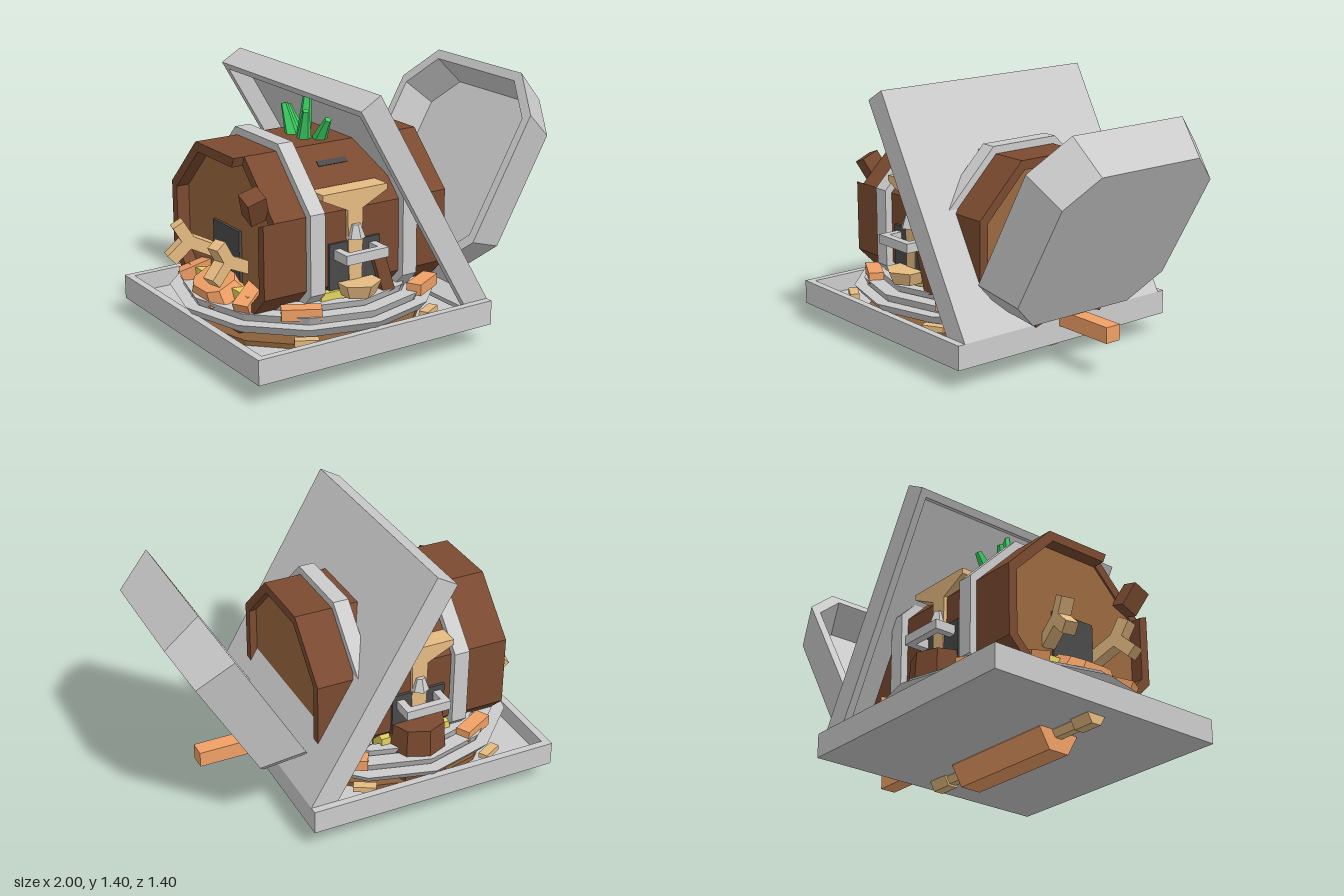
import * as THREE from 'three';

const GREY = 0xcccccc, DARK = 0x4a4a4a, BROWN = 0x7a4a30, PALE = 0x9a683f,
  ORANGE = 0xf0a066, TAN = 0xe6bb82, GREEN = 0x3ccf62, YELLOW = 0xe3d45c, SOIL = 0x8a6038;
const CX = -0.305; // middle of the tray

const mats = {};
const mat = c => (mats[c] ??= new THREE.MeshStandardMaterial({ color: c, flatShading: true, side: THREE.DoubleSide }));

function add(parent, name, geo, color, pos = [0, 0, 0], rot = [0, 0, 0]) {
  const m = new THREE.Mesh(geo, mat(color));
  m.name = name;
  m.position.set(...pos);
  m.rotation.set(...rot);
  parent.add(m);
  return m;
}
const box = (p, name, size, color, pos, rot) => add(p, name, new THREE.BoxGeometry(...size), color, pos, rot);

// Box given by its limits
const span = (p, name, color, x0, x1, y0, y1, z0, z1) =>
  box(p, name, [x1 - x0, y1 - y0, z1 - z0], color, [(x0 + x1) / 2, (y0 + y1) / 2, (z0 + z1) / 2]);

// Shallow tray open at +y, starting at x = 0
function tray(name, length, half, height) {
  const g = new THREE.Group(), t = 0.04;
  g.name = name;
  span(g, 'trayFloor', GREY, 0, length, 0, 0.035, -half, half);
  for (const x of [0, length - t]) span(g, 'trayEnd', GREY, x, x + t, 0.035, height, -half, half);
  for (const z of [-half, half - t]) span(g, 'traySide', GREY, t, length - t, 0.035, height, z, z + t);
  return g;
}

// Skin over octagonal cross-sections [height, half size, half side], capped at both ends
function octagonLoft(sections) {
  const rings = sections.map(([y, h, c]) =>
    [[h, -c], [h, c], [c, h], [-c, h], [-h, c], [-h, -c], [-c, -h], [c, -h]].map(([x, z]) => [x, y, z]));
  const v = [], tri = (...p) => p.forEach(q => v.push(...q));
  for (let i = 0; i + 1 < rings.length; i++) for (let j = 0; j < 8; j++) {
    const k = (j + 1) % 8, a = rings[i], b = rings[i + 1];
    tri(a[j], b[j], b[k]);
    tri(a[j], b[k], a[k]);
  }
  const first = rings[0], last = rings[rings.length - 1];
  for (let j = 1; j < 7; j++) {
    tri(first[0], first[j], first[j + 1]);
    tri(last[0], last[j + 1], last[j]);
  }
  const g = new THREE.BufferGeometry();
  g.setAttribute('position', new THREE.Float32BufferAttribute(v, 3));
  g.computeVertexNormals();
  return g;
}

// Straight bar lying along x, extruded from a (z, y) outline
function alongX(points, x0, x1) {
  const shape = new THREE.Shape(points.map(([z, y]) => new THREE.Vector2(-z, y)));
  return new THREE.ExtrudeGeometry(shape, { depth: x1 - x0, bevelEnabled: false }).rotateY(Math.PI / 2).translate(x0, 0, 0);
}

// One of eight staves of an octagonal tube
function stave(inner, outer, i, x0, x1) {
  const k = Math.tan(Math.PI / 8), a = i * Math.PI / 4;
  const pts = [[-k * inner, inner], [k * inner, inner], [k * outer, outer], [-k * outer, outer]]
    .map(([z, y]) => [z * Math.cos(a) + y * Math.sin(a), y * Math.cos(a) - z * Math.sin(a)]);
  return alongX(pts, x0, x1);
}

function barrel() {
  const g = new THREE.Group();
  g.name = 'barrel';
  g.position.y = 0.61;
  for (let i = 0; i < 8; i++) {
    add(g, 'stave', stave(0.41, 0.46, i, i === 1 ? -0.76 : -0.82, 0.26), BROWN); // one stave is broken short
    for (const x of [-0.58, -0.03]) add(g, 'hoop', stave(0.46, 0.5, i, x, x + 0.085), GREY);
  }
  // inset ends
  for (const x of [-0.73, 0.2])
    add(g, 'barrelEnd', new THREE.CylinderGeometry(0.445, 0.445, 0.04, 8).rotateY(Math.PI / 8).rotateZ(Math.PI / 2), PALE, [x, 0, 0]);
  span(g, 'doorway', DARK, -0.765, -0.74, -0.36, 0.06, -0.13, 0.13);
  box(g, 'splinter', [0.1, 0.14, 0.1], BROWN, [-0.81, 0.26, 0.36], [0.4, 0, 0.35]);
  return g;
}

// Side fittings, drawn for +z
function fittings() {
  const g = new THREE.Group();
  g.name = 'sideFittings';
  g.position.x = CX;
  const post = new THREE.Shape([[-0.035, 0.38], [0.035, 0.38], [0.045, 0.8], [0.19, 0.87], [0.19, 0.9],
    [-0.19, 0.9], [-0.19, 0.87], [-0.045, 0.8]].map(p => new THREE.Vector2(...p)));
  add(g, 'bracketPost', new THREE.ExtrudeGeometry(post, { depth: 0.11, bevelEnabled: false }), TAN, [0, 0, 0.37]);
  span(g, 'lockPlate', DARK, -0.15, 0.15, 0.4, 0.64, 0.45, 0.475);
  span(g, 'handleBar', GREY, -0.125, 0.125, 0.56, 0.61, 0.55, 0.59);
  for (const x of [-0.105, 0.105]) span(g, 'handleArm', GREY, x - 0.02, x + 0.02, 0.56, 0.61, 0.46, 0.56);
  add(g, 'knob', new THREE.CylinderGeometry(0.025, 0.05, 0.07, 6), GREY, [0, 0.69, 0.48]);
  box(g, 'slot', [0.17, 0.012, 0.03], DARK, [0, 0.99, 0.268], [Math.PI / 4, 0, 0]);
  return g;
}

// Forked claw at the -x end
function claw(side) {
  const g = new THREE.Group();
  g.name = 'claw';
  g.position.set(-0.88, 0.56, 0.19 * side);
  g.rotation.y = 0.25 * side;
  for (const [a, l] of [[3.9, 0.13], [2.1, 0.11], [-0.45, 0.16]])
    box(g, 'clawJoint', [l, 0.065, 0.07], TAN, [Math.cos(a) * l / 2, Math.sin(a) * l / 2, 0], [0, 0, a]);
  return g;
}

export function createModel() {
  const model = new THREE.Group();

  // Tray and its leaning lid
  const base = tray('tray', 1.39, 0.7, 0.13);
  base.position.set(-1, 0.11, 0);
  const lid = tray('lid', 1.344, 0.66, 0.13);
  lid.position.set(0.39, 0.24, 0);
  lid.rotation.z = Math.PI * 2 / 3;
  model.add(base, lid);

  // Tilted octagonal basin
  add(model, 'basin', octagonLoft([[0, 0.49, 0.32], [0.23, 0.56, 0.36], [0.23, 0.51, 0.33], [0.05, 0.45, 0.29]]),
    GREY, [0.75, 0.715, 0], [0, 0, Math.PI / 3]);

  // Ground disc and stacked flared rings
  add(model, 'groundDisc', new THREE.CylinderGeometry(0.62, 0.62, 0.03, 12), SOIL, [CX, 0.155, 0]);
  const rings = [
    [[0.58, 0.22], [0.66, 0.23], [0.7, 0.28], [0.63, 0.28]],
    [[0.5, 0.25], [0.62, 0.27], [0.645, 0.32], [0.56, 0.32]],
    [[0.43, 0.28], [0.54, 0.3], [0.56, 0.35], [0.5, 0.35]],
  ];
  for (const r of rings)
    add(model, 'stoneRing', new THREE.LatheGeometry([...r, r[0]].map(p => new THREE.Vector2(...p)), 12), GREY, [CX, 0, 0]);
  for (const x of [-0.67, 0.06]) for (const s of [-1, 1]) {
    box(model, 'looseStick', [0.12, 0.03, 0.05], TAN, [x, 0.225, 0.6 * s], [0, 0.5 * s * Math.sign(x + 0.3), 0]);
    box(model, 'looseBlock', [0.2, 0.06, 0.08], ORANGE, [x + 0.04, 0.33, 0.49 * s], [0, 0.5 * s * Math.sign(x + 0.3), 0]);
  }

  model.add(barrel());
  const front = fittings(), back = fittings();
  back.rotation.y = Math.PI;
  model.add(front, back);

  // Things standing at the barrel's sides
  add(model, 'smallBowl', new THREE.CylinderGeometry(0.12, 0.09, 0.07, 6), TAN, [CX, 0.4, 0.5]);
  box(model, 'wedge', [0.07, 0.24, 0.05], BROWN, [-0.15, 0.45, 0.48], [0, 0, 0.3]);
  add(model, 'bucket', new THREE.CylinderGeometry(0.15, 0.17, 0.3, 8), BROWN, [CX, 0.32, -0.46]);
  for (const z of [-0.42, 0.42]) span(model, 'straw', YELLOW, -0.5, -0.1, 0.3, 0.39, z - 0.05, z + 0.05);
  span(model, 'strawEnd', YELLOW, -0.82, -0.74, 0.25, 0.39, -0.3, 0.3);

  // Foot with two claws
  add(model, 'foot', octagonLoft([[0, 0.17, 0.1], [0.07, 0.13, 0.07]]), ORANGE, [-0.81, 0.34, 0], [0, 0, 0.45]).scale.x = 0.7;
  for (const s of [-1, 1]) {
    box(model, 'sideToe', [0.2, 0.07, 0.09], ORANGE, [-0.78, 0.37, 0.26 * s], [0, 0.5 * s, 0.4]);
    model.add(claw(s));
  }

  // Crystals: x, z, height, lean about z, lean about x
  for (const [x, z, h, lean, tip] of [[-0.3, 0, 0.29, -0.12, 0], [-0.33, 0.05, 0.17, 0.1, 0.3],
    [-0.33, -0.06, 0.17, 0.1, -0.3], [-0.27, 0.1, 0.15, 0, 0.6], [-0.27, -0.11, 0.15, 0, -0.6]])
    add(model, 'crystal', new THREE.CylinderGeometry(0.018, 0.04, h, 5).translate(0, h / 2, 0), GREEN, [x, 1.06, z], [tip, 0, lean]);

  // Roller beneath the tray
  const bar = (name, r, x0, x1, y, color) =>
    add(model, name, new THREE.CylinderGeometry(r, r, x1 - x0, 6).rotateZ(Math.PI / 2), color, [(x0 + x1) / 2, y, 0]);
  bar('roller', 0.12, -0.64, 0.03, 0.104, ORANGE);
  bar('rollerCollar', 0.133, -0.385, -0.225, 0.19, GREEN);
  for (const s of [-1, 1]) {
    bar('rollerNeck', 0.04, CX + s * 0.46 - 0.13, CX + s * 0.46 + 0.13, 0.105, TAN);
    bar('rollerGrip', 0.055, CX + s * 0.54 - 0.06, CX + s * 0.54 + 0.06, 0.108, TAN);
  }

  // Beam and pegs through the +x side
  span(model, 'beam', ORANGE, 0.2, 0.745, 0.2, 0.285, -0.045, 0.045);
  for (const s of [-1, 1]) box(model, 'peg', [0.12, 0.035, 0.07], BROWN, [0.35, 0.262, 0.19 * s], [0.3 * s, 0, 0]);

  return model;
}
